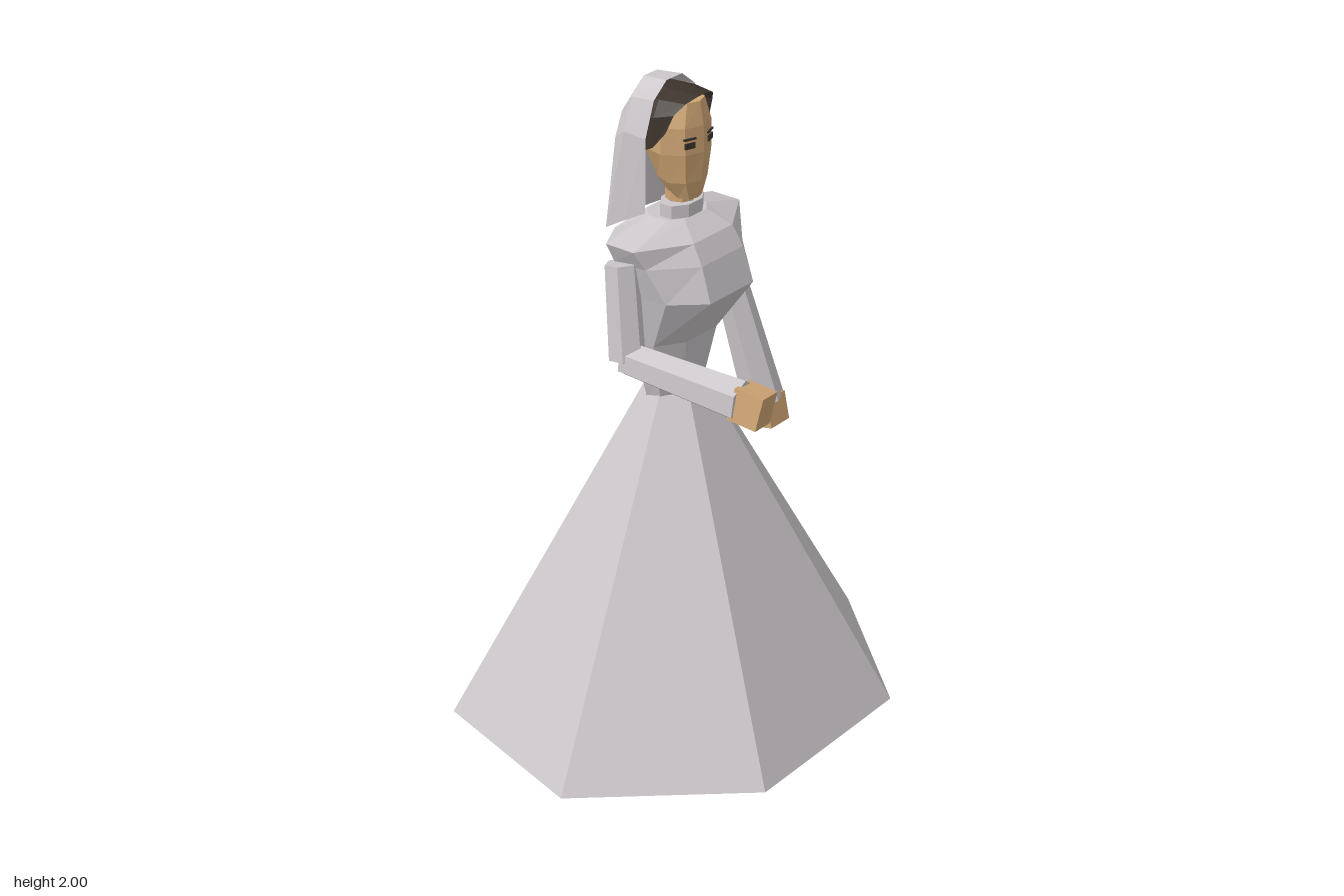
import * as THREE from 'three';

const flat = (name, color, side = THREE.FrontSide) => {
  const m = new THREE.MeshStandardMaterial({ color, side, flatShading: true });
  m.name = name;
  return m;
};
const V = (a) => new THREE.Vector3(...a);

// Skin a row of point loops; closed loops run counter-clockwise seen from above, bottom to top
function loft(rows, closed) {
  const out = [];
  const n = rows[0].length;
  for (let r = 0; r < rows.length - 1; r++) {
    for (let i = 0; i < (closed ? n : n - 1); i++) {
      const j = (i + 1) % n;
      const [a, b, c, d] = [rows[r][i], rows[r][j], rows[r + 1][j], rows[r + 1][i]];
      out.push(...a, ...b, ...c, ...a, ...c, ...d);
    }
  }
  if (closed) {
    const lo = rows[0], hi = rows[rows.length - 1];
    for (let i = 1; i < n - 1; i++) {
      out.push(...lo[0], ...lo[i + 1], ...lo[i], ...hi[0], ...hi[i], ...hi[i + 1]);
    }
  }
  const g = new THREE.BufferGeometry();
  g.setAttribute('position', new THREE.Float32BufferAttribute(out, 3));
  g.computeVertexNormals();
  return g;
}

// Full loop at height y from its +x half, listed front to back as [x, z]
const ring = (y, half) => [
  ...half.map(([x, z]) => [x, y, z]),
  ...half.filter(([x]) => x > 0).reverse().map(([x, z]) => [-x, y, z]),
];
// Arch from its +x half, listed bottom to crown as [x, y, z]
const arch = (half) => [...half, ...[...half].reverse().map(([x, y, z]) => [-x, y, z])];

export function createModel() {
  const model = new THREE.Group();
  const cloth = flat('pale cloth', 0xcbc6ca, THREE.DoubleSide);
  const skin = flat('skin', 0xd0a675);
  const hairMat = flat('dark hair', 0x3c332b, THREE.DoubleSide);

  const add = (name, geometry, material, parent = model) => {
    const m = new THREE.Mesh(geometry, material);
    m.name = name;
    parent.add(m);
    return m;
  };
  // Stretch a y-aligned unit part between two points
  const between = (mesh, a, b) => {
    const dir = V(b).sub(V(a)).normalize();
    mesh.position.copy(V(a)).add(V(b)).multiplyScalar(0.5);
    mesh.quaternion.setFromUnitVectors(new THREE.Vector3(0, 1, 0), dir);
  };
  const dist = (a, b) => V(a).distanceTo(V(b));

  // Seven-sided skirt
  add('skirt', new THREE.CylinderGeometry(0.11, 0.74, 1.04, 7)
    .rotateY(Math.PI).scale(1, 1, 0.892).translate(0, 0.52, 0.03), cloth);

  // Bodice
  add('bodice', loft([
    ring(0.98, [[0.04, 0.08], [0.09, 0.05], [0.09, 0], [0.05, -0.04]]),
    ring(1.225, [[0.07, 0.125], [0.155, 0.07], [0.16, 0], [0.07, -0.06]]),
    ring(1.39, [[0.1, 0.235], [0.185, 0.14], [0.195, 0], [0.1, -0.09]]),
    ring(1.495, [[0.095, 0.2], [0.215, 0.09], [0.22, -0.02], [0.13, -0.095]]),
    ring(1.555, [[0.09, 0.165], [0.245, 0.07], [0.245, -0.03], [0.14, -0.085]]),
    ring(1.6, [[0.05, 0.1], [0.09, 0.07], [0.09, 0], [0.05, -0.04]]),
  ], true), cloth);

  // Collar and neck
  add('collar', new THREE.CylinderGeometry(0.08, 0.08, 0.07, 8)
    .rotateY(Math.PI / 8).scale(1, 1, 0.68).translate(0, 1.605, 0.05), cloth);
  add('neck', new THREE.CylinderGeometry(0.045, 0.045, 0.12, 8).translate(0, 1.66, 0.045), skin);

  // Head
  add('head', loft([
    ring(1.655, [[0, 0.11], [0.03, 0.1], [0.042, 0.07], [0.03, 0.03]]),
    ring(1.71, [[0, 0.122], [0.05, 0.104], [0.075, 0.06], [0.05, 0]]),
    ring(1.8, [[0, 0.13], [0.06, 0.11], [0.097, 0.05], [0.08, -0.02]]),
    ring(1.88, [[0, 0.128], [0.06, 0.108], [0.097, 0.05], [0.08, -0.03]]),
    ring(1.95, [[0, 0.115], [0.04, 0.1], [0.06, 0.05], [0.05, -0.02]]),
  ], true), skin);

  // Eyes and brows
  for (const s of [1, -1]) {
    const eye = add('eye', new THREE.BoxGeometry(0.034, 0.018, 0.008), hairMat);
    eye.position.set(s * 0.045, 1.828, 0.114);
    const brow = add('brow', new THREE.BoxGeometry(0.04, 0.006, 0.008), hairMat);
    brow.position.set(s * 0.045, 1.848, 0.114);
    eye.rotation.y = brow.rotation.y = s * 0.32;
  }

  // Hair around the forehead
  add('hair', loft([
    arch([[0.1, 1.87, 0.07], [0.088, 1.925, 0.09], [0.062, 1.957, 0.112], [0.02, 1.972, 0.125]]),
    arch([[0.108, 1.82, 0.03], [0.105, 1.91, 0.03], [0.08, 1.957, 0.03], [0.03, 1.976, 0.03]]),
    arch([[0.108, 1.8, -0.01], [0.105, 1.9, -0.03], [0.08, 1.95, -0.03], [0.03, 1.975, -0.03]]),
  ], false), hairMat);

  // Veil, open at the front and closed along the middle of the back
  add('veil', loft([
    arch([[0.132, 1.625, 0.022], [0.13, 1.85, 0.022], [0.092, 1.955, 0.022], [0.035, 2, 0.022]]),
    arch([[0.13, 1.58, -0.06], [0.12, 1.85, -0.065], [0.085, 1.945, -0.065], [0.03, 1.992, -0.065]]),
    arch([[0.138, 1.545, -0.12], [0.11, 1.82, -0.105], [0.075, 1.89, -0.108], [0.03, 1.915, -0.108]]),
    arch([[0, 1.54, -0.15], [0, 1.82, -0.13], [0, 1.88, -0.12], [0, 1.918, -0.11]]),
  ], false), cloth);

  // Arms: the left hangs down, the right reaches forward
  const arms = {
    left: [[0.225, 1.5, 0.015], [0.27, 1.25, 0.03], [0.315, 0.885, 0.12], [0.315, 0.825, 0.133]],
    right: [[-0.225, 1.5, 0.01], [-0.25, 1.22, 0.05], [-0.212, 1.19, 0.44], [-0.203, 1.18, 0.5]],
  };
  for (const [side, [shoulder, elbow, wrist, tip]] of Object.entries(arms)) {
    const arm = new THREE.Group();
    arm.name = side + 'Arm';
    model.add(arm);
    const limb = (name, a, b, ra, rb) =>
      between(add(name, new THREE.CylinderGeometry(rb, ra, dist(a, b), 6), cloth, arm), a, b);
    limb('upperSleeve', shoulder, elbow, 0.05, 0.055);
    limb('lowerSleeve', elbow, wrist, 0.052, 0.065);
    between(add('hand', new THREE.BoxGeometry(0.09, dist(wrist, tip) + 0.03, 0.1), skin, arm), wrist, tip);
  }
  return model;
}
